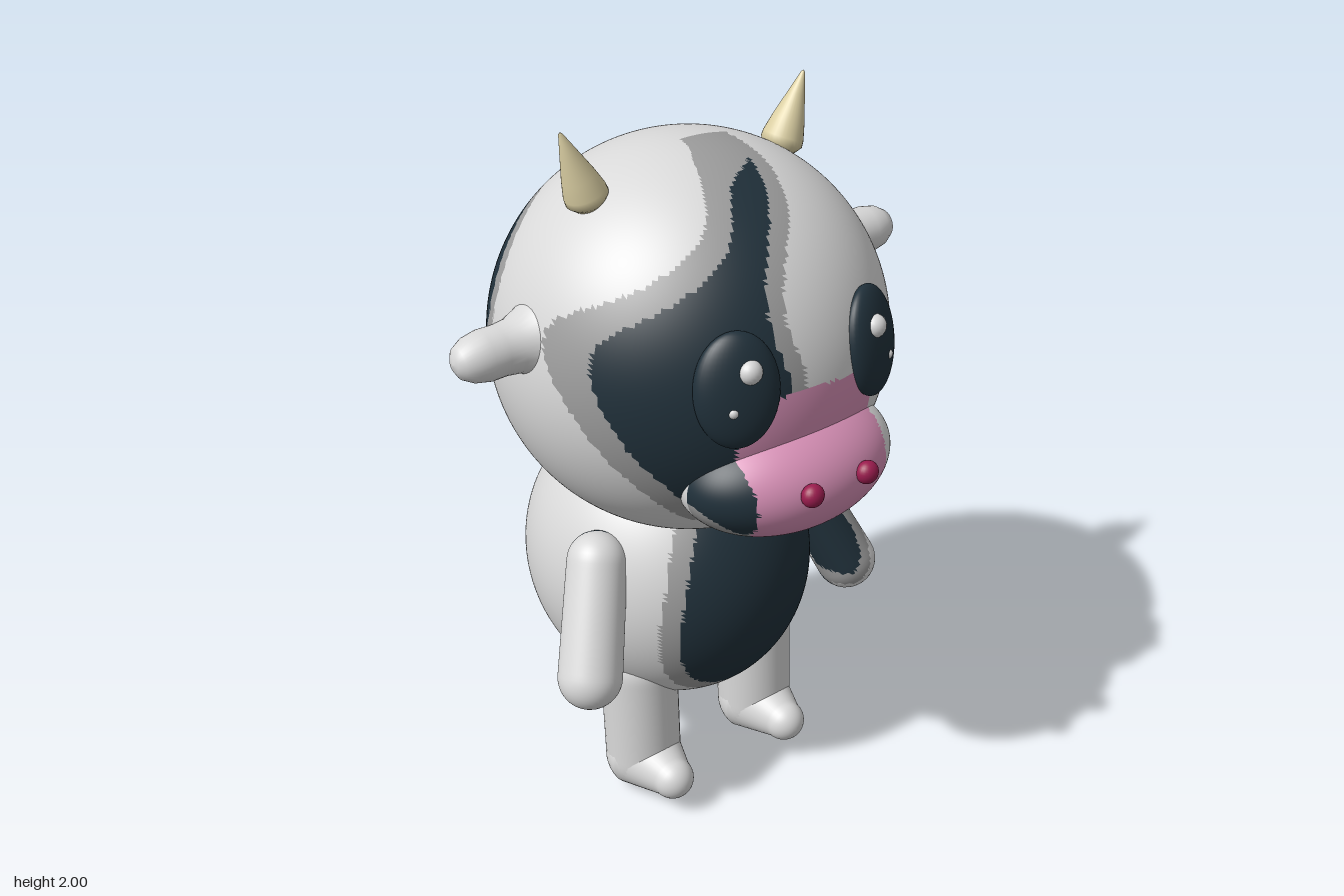
import * as THREE from 'three';

const mat = (name, color) => Object.assign(new THREE.MeshStandardMaterial({ color }), { name });
const white = mat('white hide', 0xd9d9d9);
const grey = mat('grey patch rim', 0x9c9c9c);
const dark = mat('dark patch', 0x20303a);
const pink = mat('pink muzzle', 0xd68fb5);
const crimson = mat('crimson nostril', 0x9a1c4e);
const gold = mat('gold bell', 0xc79a18);
const horn = mat('cream horn', 0xdcd0a4);
const hide = [white, grey, dark, pink];

const V = (x, y, z) => new THREE.Vector3(x, y, z);
const HEAD = V(0, 1.39, -0.05), BODY = V(0, 0.67, -0.155), ORIGIN = V(0, 0, 0);

// A patch is a closed outline projected onto the hide along one direction
function patch(az, el, origin, pts, rim = 0.042, slot = 2) {
  const dir = V(Math.sin(az) * Math.cos(el), Math.sin(el), Math.cos(az) * Math.cos(el));
  const right = V(Math.cos(az), 0, -Math.sin(az));
  const up = dir.clone().cross(right);
  const p = pts.map(([x, y]) => new THREE.Vector2(x, y));
  const outline = new THREE.SplineCurve([...p, p[0]]).getPoints(pts.length * 3).slice(0, -1);
  return { dir, right, up, origin, outline, rim, slot };
}

// Signed distance to an outline, negative inside
function distance(outline, x, y) {
  let best = Infinity, inside = false;
  outline.forEach((a, i) => {
    const b = outline[(i + 1) % outline.length];
    const dx = b.x - a.x, dy = b.y - a.y;
    const t = Math.min(1, Math.max(0, ((x - a.x) * dx + (y - a.y) * dy) / (dx * dx + dy * dy || 1)));
    best = Math.min(best, Math.hypot(x - a.x - t * dx, y - a.y - t * dy));
    if ((a.y > y) !== (b.y > y) && x < a.x + ((y - a.y) / dy) * dx) inside = !inside;
  });
  return inside ? -best : best;
}

const headPatches = [
  // muzzle colour
  patch(0, 0, ORIGIN, [[-0.2, 1.12], [-0.21, 1.33], [-0.18, 1.43], [-0.03, 1.45], [0.1, 1.44], [0.2, 1.43],
    [0.205, 1.3], [0.195, 1.2], [0.205, 1.1], [0.15, 1.03], [0, 0.99], [-0.15, 1.03]], 0, 3),
  // eye patch sweeping over the forehead
  patch(0, 0, ORIGIN, [[0.075, 1.88], [-0.04, 1.855], [-0.13, 1.765], [-0.25, 1.69], [-0.4, 1.6], [-0.445, 1.53],
    [-0.45, 1.44], [-0.41, 1.32], [-0.33, 1.21], [-0.25, 1.13], [-0.19, 1.115], [-0.15, 1.3], [-0.08, 1.45],
    [-0.105, 1.58], [-0.095, 1.67], [-0.04, 1.76], [0.04, 1.835]]),
  // small patch before the left ear
  patch(Math.PI / 2, 0, ORIGIN, [[-0.125, 1.58], [-0.11, 1.52], [-0.14, 1.44], [-0.2, 1.38], [-0.245, 1.385],
    [-0.25, 1.44], [-0.22, 1.52], [-0.17, 1.575]], 0.038),
  // back of the head
  patch(Math.PI + 0.607, 0.368, HEAD, [[-0.107, 0.158], [0, 0.165], [0.107, 0.147], [0.22, 0.045], [0.26, -0.107],
    [0.19, -0.29], [0.05, -0.41], [-0.09, -0.446], [-0.23, -0.395], [-0.316, -0.277], [-0.38, -0.15],
    [-0.333, -0.068], [-0.23, 0.017], [-0.175, 0.12]]),
];
const bodyPatches = [
  // belly patch, running onto the left arm
  patch(0, 0, ORIGIN, [[-0.12, 0.945], [-0.175, 0.84], [-0.21, 0.71], [-0.215, 0.6], [-0.175, 0.485],
    [-0.095, 0.415], [0.01, 0.385], [0.14, 0.415], [0.25, 0.495], [0.33, 0.575], [0.41, 0.575], [0.44, 0.645],
    [0.42, 0.735], [0.33, 0.8], [0.2, 0.865], [0.1, 0.935], [0, 0.98]]),
  // rump patch, as two overlapping lobes
  patch(Math.PI + 0.607, 0.368, BODY, [[-0.45, 0], [-0.31, 0.04], [-0.21, 0.05], [-0.14, 0.01], [-0.124, -0.073],
    [-0.056, -0.158], [0.03, -0.186], [0.136, -0.175], [0.124, -0.27], [0.085, -0.373], [-0.056, -0.45],
    [-0.3, -0.37], [-0.45, -0.2]]),
  patch(Math.PI - 0.607, -0.368, BODY, [[0.237, 0.36], [0.136, 0.31], [0.006, 0.186], [0.02, 0.073],
    [0.136, -0.068], [0.277, -0.18], [0.38, -0.17], [0.45, 0], [0.43, 0.2], [0.38, 0.25], [0.305, 0.345]]),
];

// Sort the faces of a geometry into material groups by the patches they lie in
function paint(geo, patches) {
  const pos = geo.attributes.position, nor = geo.attributes.normal, idx = geo.index.array;
  const lists = hide.map(() => []);
  const c = V(), n = V(), t = V();
  for (let i = 0; i < idx.length; i += 3) {
    const tri = [idx[i], idx[i + 1], idx[i + 2]];
    c.set(0, 0, 0);
    n.set(0, 0, 0);
    tri.forEach((k) => {
      c.add(t.fromBufferAttribute(pos, k));
      n.add(t.fromBufferAttribute(nor, k));
    });
    c.divideScalar(3);
    let slot = 0;
    for (const p of patches) {
      if (n.dot(p.dir) <= 0) continue;
      t.copy(c).sub(p.origin);
      const d = distance(p.outline, t.dot(p.right), t.dot(p.up));
      if (d < 0) slot = Math.max(slot, p.slot);
      else if (d < p.rim) slot = Math.max(slot, 1);
    }
    lists[slot].push(...tri);
  }
  geo.setIndex(lists.flat());
  let start = 0;
  lists.forEach((l, m) => {
    if (l.length) geo.addGroup(start, l.length, m);
    start += l.length;
  });
  return geo;
}

const ellipsoid = (c, rx, ry, rz, w = 32, h = 24) =>
  new THREE.SphereGeometry(1, w, h).scale(rx, ry, rz).translate(c.x, c.y, c.z);

const lathe = (pts, seg = 32) => new THREE.LatheGeometry(pts.map(([r, y]) => new THREE.Vector2(r, y)), seg);

// Round-ended limb from a to b, with its own radius at each end
function limb(a, ra, b, rb, seg = 40) {
  const axis = b.clone().sub(a), len = axis.length(), pts = [];
  for (let i = 0; i <= 10; i++) {
    const t = (i / 10) * Math.PI / 2;
    pts.push([ra * Math.sin(t), -ra * Math.cos(t)]);
  }
  for (let i = 1; i < 20; i++) pts.push([ra + (rb - ra) * i / 20, len * i / 20]);
  for (let i = 0; i <= 10; i++) {
    const t = (i / 10) * Math.PI / 2;
    pts.push([rb * Math.cos(t), len + rb * Math.sin(t)]);
  }
  const q = new THREE.Quaternion().setFromUnitVectors(V(0, 1, 0), axis.normalize());
  return lathe(pts, seg).applyQuaternion(q).translate(a.x, a.y, a.z);
}

export function createModel() {
  const model = new THREE.Group();
  const add = (name, geo, material) => {
    const m = new THREE.Mesh(geo, material);
    m.name = name;
    model.add(m);
    return m;
  };

  add('head', paint(ellipsoid(HEAD, 0.515, 0.515, 0.515, 200, 130), headPatches), hide);
  add('muzzle', paint(ellipsoid(V(0, 1.19, 0.34), 0.3, 0.165, 0.21, 110, 70), headPatches), hide);
  add('body', paint(ellipsoid(BODY, 0.39, 0.425, 0.425, 160, 110), bodyPatches), hide);
  add('bell', ellipsoid(V(0, 0.962, 0.225), 0.075, 0.045, 0.065), gold);

  for (const s of [1, -1]) {
    const side = s > 0 ? 'left' : 'right';

    // ear and horn
    const ear = add(side + 'Ear', lathe([[0.12, -0.07], [0.085, -0.02], [0.068, 0.02], [0.063, 0.06], [0.064, 0.1],
      [0.056, 0.14], [0.04, 0.168], [0.02, 0.18], [0, 0.183]]), white);
    ear.position.set(s * 0.5, 1.505, -0.05);
    ear.rotation.z = -s * Math.PI / 2;
    const h = add(side + 'Horn', lathe([[0, -0.03], [0.04, -0.023], [0.054, -0.005], [0.053, 0.012], [0.042, 0.055],
      [0.022, 0.12], [0.005, 0.175], [0, 0.18]]), horn);
    h.position.set(s * 0.297, 1.83, -0.05);
    h.rotation.z = -s * 0.37;

    // eye with two highlights
    const eye = add(side + 'Eye', new THREE.SphereGeometry(1, 40, 28).scale(0.104, 0.142, 0.045), dark);
    eye.position.set(s * 0.205, 1.48, 0.405);
    eye.lookAt(s * 0.405, 1.57, 0.871);
    add(side + 'EyeHighlight', ellipsoid(V(s * 0.19, 1.535, 0.435), 0.03, 0.03, 0.028, 20, 14), white);
    add(side + 'EyeSparkle', ellipsoid(V(s * 0.238, 1.445, 0.435), 0.014, 0.014, 0.014, 16, 12), white);

    add(side + 'Nostril', ellipsoid(V(s * 0.086, 1.22, 0.548), 0.03, 0.03, 0.026, 24, 16), crimson);

    // arm, leg and foot
    add(side + 'Arm', paint(limb(V(s * 0.34, 0.835, 0), 0.08, V(s * 0.447, 0.57, 0.11), 0.086, 64), bodyPatches), hide);
    add(side + 'Leg', limb(V(s * 0.205, 0.42, -0.015), 0.108, V(s * 0.205, 0.115, -0.002), 0.108), white);
    add(side + 'Foot', limb(V(s * 0.205, 0.112, 0.005), 0.112, V(s * 0.205, 0.105, 0.14), 0.06), white);
  }
  return model;
}
